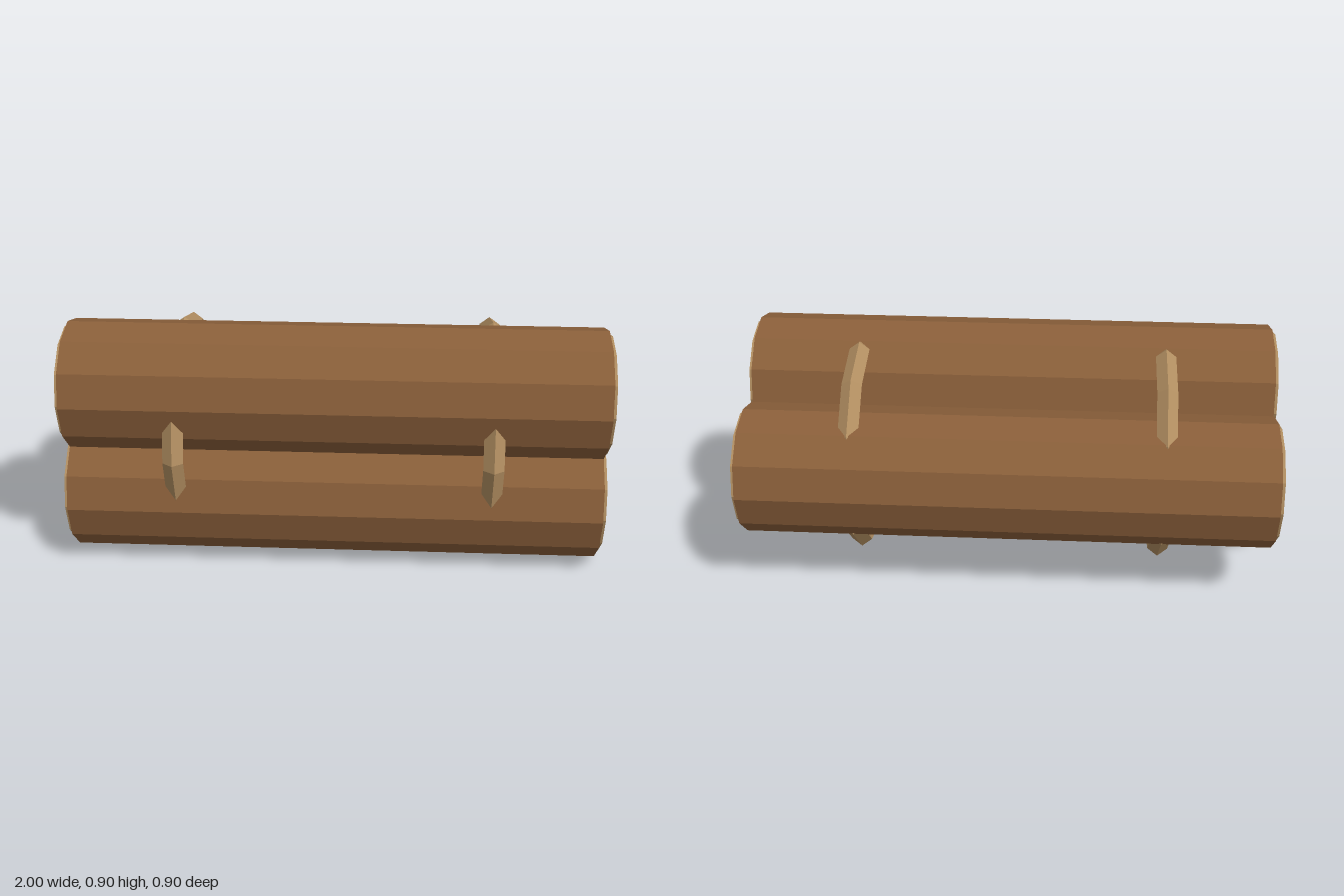
import * as THREE from 'three';

export function createModel() {
  const model = new THREE.Group();
  model.name = 'logBundle';

  const bark = new THREE.MeshStandardMaterial({ color: 0x8a5f3a, flatShading: true });
  bark.name = 'bark brown';
  const cutWood = new THREE.MeshStandardMaterial({ color: 0xb08d60, flatShading: true });
  cutWood.name = 'cut wood and rope tan';

  const add = (parent, name, geometry, material, x, y, z) => {
    const mesh = new THREE.Mesh(geometry, material);
    mesh.name = name;
    mesh.position.set(x, y, z);
    parent.add(mesh);
  };

  // Twelve-sided logs lying along x, with slightly raised cut faces
  const logGeometry = new THREE.CylinderGeometry(0.245, 0.245, 1.974, 12).rotateZ(Math.PI / 2);
  const endGeometry = new THREE.CylinderGeometry(0.225, 0.225, 0.018, 12).rotateZ(Math.PI / 2);
  const logs = [
    ['upperFrontLog', 0.655, 0.175],
    ['lowerFrontLog', 0.245, 0.175],
    ['backLog', 0.45, -0.204],
  ];
  for (const [name, y, z] of logs) {
    const log = new THREE.Group();
    log.name = name;
    log.position.set(0, y, z);
    add(log, 'bark', logGeometry, bark, 0, 0, 0);
    add(log, 'leftCutFace', endGeometry, cutWood, 0.991, 0, 0);
    add(log, 'rightCutFace', endGeometry, cutWood, -0.991, 0, 0);
    model.add(log);
  }

  // Rope rings binding the bundle
  const ropeGeometry = new THREE.TorusGeometry(0.381, 0.04, 5, 12).rotateY(Math.PI / 2);
  add(model, 'leftRope', ropeGeometry, cutWood, 0.58, 0.45, 0.03);
  add(model, 'rightRope', ropeGeometry, cutWood, -0.58, 0.45, 0.03);

  return model;
}
